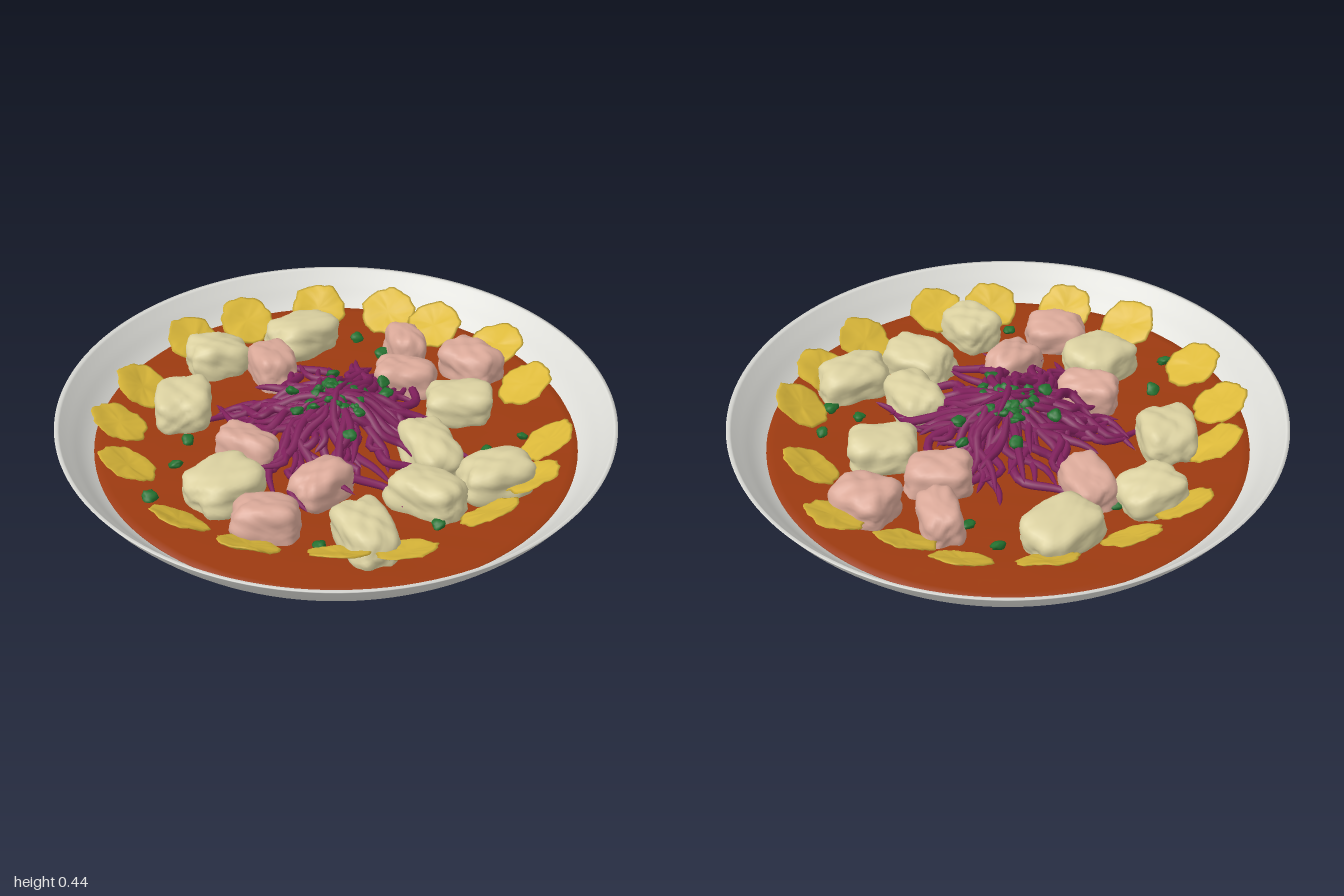
import * as THREE from 'three';
import { mergeVertices } from 'three/addons/utils/BufferGeometryUtils.js';

const mat = (name, color, side = THREE.FrontSide) => {
  const m = new THREE.MeshStandardMaterial({ color, side });
  m.name = name;
  return m;
};

let seed = 11;
const rnd = () => (seed = (seed * 16807) % 2147483647) / 2147483647;
const between = (a, b) => a + (b - a) * rnd();

// Smooth bumpy field used for all the lumpy food
const bump = (x, y, z, s) =>
  Math.sin(x * 1.9 + s) * Math.sin(y * 2.3 + s * 1.7) +
  Math.sin(z * 2.1 + s * 2.3 + x) * 0.7 +
  Math.sin(x * 4.7 + y * 3.9 + s) * Math.sin(z * 5.1 - y * 2 + s) * 0.6;

// Move every vertex by a rule, weld seams and smooth the normals
function reshape(geo, rule) {
  geo.deleteAttribute('uv');
  geo.deleteAttribute('normal');
  const g = mergeVertices(geo, 1e-5);
  const p = g.attributes.position, v = new THREE.Vector3();
  for (let i = 0; i < p.count; i++) {
    v.fromBufferAttribute(p, i);
    rule(v);
    p.setXYZ(i, v.x, v.y, v.z);
  }
  g.computeVertexNormals();
  return g;
}

const SOUP_Y = 0.255;
const pts = (list) => list.map(([x, y]) => new THREE.Vector2(x, y));

export function createModel() {
  const root = new THREE.Group();
  const china = mat('white china', 0xdcdcd7);
  const broth = mat('red broth', 0x9c3a10);
  const cream = mat('cream chunk', 0xd9cf9f);
  const pink = mat('pink chunk', 0xd9a898);
  const gold = mat('golden chip', 0xdcb93a, THREE.DoubleSide);
  const purple = mat('purple onion', 0x80205c);
  const green = mat('green herb', 0x23702f);

  const group = (name) => {
    const g = new THREE.Group();
    g.name = name;
    root.add(g);
    return g;
  };
  const add = (parent, name, geo, material, x = 0, y = 0, z = 0) => {
    const m = new THREE.Mesh(geo, material);
    m.name = name;
    m.position.set(x, y, z);
    parent.add(m);
    return m;
  };

  // Bowl: recessed foot, flared outer wall, thin rim, hollow inside
  const outer = new THREE.SplineCurve(pts([
    [0.36, 0.035], [0.4, 0.025], [0.45, 0.005], [0.51, 0.004], [0.545, 0.02], [0.6, 0.055],
    [0.7, 0.108], [0.8, 0.17], [0.89, 0.24], [0.955, 0.31], [1, 0.375]])).getPoints(50);
  const inner = new THREE.SplineCurve(pts([
    [0.988, 0.375], [0.945, 0.327], [0.872, 0.25], [0.72, 0.155], [0.5, 0.07], [0.25, 0.055]])).getPoints(24);
  const profile = [new THREE.Vector2(0, 0.035), ...outer, ...inner, new THREE.Vector2(0, 0.055)];
  add(root, 'bowl', new THREE.LatheGeometry(profile, 128), china);

  // Broth surface with faint ripples
  const rings = [new THREE.Vector2(0.871, SOUP_Y - 0.012)];
  for (let i = 0; i <= 30; i++) rings.push(new THREE.Vector2(0.871 * (1 - i / 30), SOUP_Y));
  add(root, 'broth', reshape(new THREE.LatheGeometry(rings, 96), (v) => {
    v.y += 0.0022 * Math.sin(v.x * 13 + 2 * Math.sin(v.z * 7)) * Math.sin(v.z * 32 + v.x * 9);
  }), broth);

  // Lumpy rounded chunks: x, z, length, width, turn in degrees
  const chunk = (length, width, height, s) => reshape(new THREE.IcosahedronGeometry(1, 9), (v) => {
    const k = Math.pow(v.x ** 4 + v.y ** 4 + v.z ** 4, -0.25);
    const n = 1 + 0.055 * bump(v.x * 1.7, v.y * 1.7, v.z * 1.7, s) + 0.025 * bump(v.z * 4, v.x * 4, v.y * 4, s);
    v.multiplyScalar(k * n * 0.93).multiply(new THREE.Vector3(length / 2, height / 2, width / 2));
  });
  const chunks = (name, material, list) => {
    const parent = group(name + 's');
    list.forEach(([x, z, l, w, turn], i) => {
      const m = add(parent, name, chunk(l, w, 0.17, i * 2.7 + x), material, x, 0.295, z);
      m.rotation.set(between(-0.12, 0.12), THREE.MathUtils.degToRad(turn), between(-0.12, 0.12));
    });
  };
  chunks('creamChunk', cream, [
    [-0.21, -0.57, 0.29, 0.21, 45], [-0.51, -0.37, 0.24, 0.19, 25], [-0.57, -0.04, 0.26, 0.21, 100],
    [0.43, -0.18, 0.26, 0.2, 10], [0.35, 0.12, 0.28, 0.19, -60], [0.59, 0.24, 0.28, 0.2, 28],
    [0.36, 0.37, 0.28, 0.19, -25], [-0.33, 0.42, 0.27, 0.23, 45], [0.18, 0.61, 0.27, 0.19, -55]]);
  chunks('pinkChunk', pink, [
    [0.2, -0.54, 0.22, 0.15, -70], [0.46, -0.46, 0.24, 0.2, -30], [0.22, -0.32, 0.25, 0.17, 2],
    [-0.29, -0.34, 0.25, 0.17, -62], [-0.29, 0.2, 0.24, 0.15, -18], [0, 0.37, 0.23, 0.16, 50],
    [-0.16, 0.58, 0.24, 0.17, 3]]);

  // Thin ragged chips leaning outwards against the wall
  const chipProfile = pts([[0, -0.005], [0.035, -0.005], [0.07, -0.005], [0.095, -0.004], [0.105, 0],
    [0.095, 0.004], [0.07, 0.005], [0.035, 0.005], [0, 0.005]]);
  const chips = group('chips');
  [[0.11, -0.76], [0.3, -0.68], [0.55, -0.57], [0.67, -0.31], [0.76, 0.04], [0.71, 0.26], [0.58, 0.47],
    [0.32, 0.7], [0.11, 0.74], [-0.19, 0.74], [-0.44, 0.64], [-0.68, 0.37], [-0.77, 0.13], [-0.74, -0.11],
    [-0.62, -0.45], [-0.44, -0.62], [-0.17, -0.75]].forEach(([x, z], i) => {
    const geo = reshape(new THREE.LatheGeometry(chipProfile, 40), (v) => {
      const a = Math.atan2(v.z, v.x), r = Math.hypot(v.x, v.z) / 0.105;
      const k = 1 + r * (0.035 * Math.sin(a * 5 + i) + 0.03 * Math.sin(a * 9 + i * 2) + 0.02 * Math.sin(a * 14 + i));
      v.x *= k;
      v.z *= k;
      v.y += 0.003 * bump(v.x * 25, i, v.z * 25, i) + 0.008 * r * r;
    });
    const chip = add(chips, 'chip', geo, gold, x, 0.315, z);
    chip.rotation.order = 'YXZ';
    chip.rotation.set(-between(0.42, 0.58), Math.atan2(x, z), 0);
  });

  // Mound of tapered, curling onion strands
  const onion = group('onionStrands');
  const mound = (r) => 0.275 + 0.115 * Math.exp(-((r / 0.25) ** 2));
  const STEPS = 18, SIDES = 7, COUNT = 84;
  for (let i = 0; i < COUNT; i++) {
    const a = i * 2.39996 + between(-0.2, 0.2), bend = between(-0.9, 0.9), wave = between(-0.25, 0.25);
    const start = between(-0.12, 0.14), end = i % 4 === 0 ? between(0.4, 0.53) : between(0.24, 0.42);
    const lift = between(-0.02, 0.035), path = [];
    for (let j = 0; j <= 5; j++) {
      const t = j / 5, r = start + (end - start) * t;
      const b = a + bend * (t - 0.5) + wave * Math.sin(t * 9);
      path.push(new THREE.Vector3(Math.cos(b) * r, mound(Math.abs(r)) + lift * (1 - t * 0.5) + 0.012 * Math.sin(t * 7 + i), Math.sin(b) * r));
    }
    const curve = new THREE.CatmullRomCurve3(path);
    const tube = new THREE.TubeGeometry(curve, STEPS, 0.0165, SIDES);
    const p = tube.attributes.position, v = new THREE.Vector3();
    for (let k = 0; k < p.count; k++) {
      const u = Math.floor(k / (SIDES + 1)) / STEPS, c = curve.getPointAt(u);
      v.fromBufferAttribute(p, k).sub(c).multiplyScalar(Math.pow(Math.sin(Math.PI * u), 0.45) || 0).add(c);
      p.setXYZ(k, v.x, v.y, v.z);
    }
    add(onion, 'onionStrand', tube, purple);
  }

  // Chopped herbs: a pinch on the mound and bits scattered around
  const herbs = group('herbs');
  const leaf = (x, y, z, size) => {
    const s = between(0, 9);
    const geo = reshape(new THREE.IcosahedronGeometry(size, 2), (v) => {
      v.multiplyScalar(1 + 0.16 * bump(v.x / size * 2, v.y / size * 2, v.z / size * 2, s));
      v.y *= 0.6;
    });
    add(herbs, 'herbLeaf', geo, green, x, y, z).rotation.set(between(-0.6, 0.6), between(0, 6), between(-0.6, 0.6));
  };
  for (let i = 0; i < 34; i++) {
    const r = 0.12 * Math.sqrt(rnd()), a = between(0, Math.PI * 2);
    leaf(Math.cos(a) * r + 0.01, mound(r) + between(0.018, 0.036), Math.sin(a) * r, between(0.013, 0.023));
  }
  [[-0.04, -0.21], [0.15, -0.2], [0.17, -0.1], [-0.13, 0.08], [0.07, 0.18], [-0.17, -0.06]].forEach(
    ([x, z]) => leaf(x, mound(Math.hypot(x, z)) + 0.04, z, 0.024));
  [[0, -0.63], [0.11, -0.53], [-0.39, -0.4], [-0.52, 0.13], [-0.53, 0.28], [-0.58, 0.47], [0.03, 0.65],
    [0.41, 0.49], [0.67, -0.05], [0.55, 0.05], [0.66, 0.1], [0.25, -0.43]].forEach(
    ([x, z]) => leaf(x, SOUP_Y + 0.012, z, between(0.021, 0.028)));

  return root;
}
